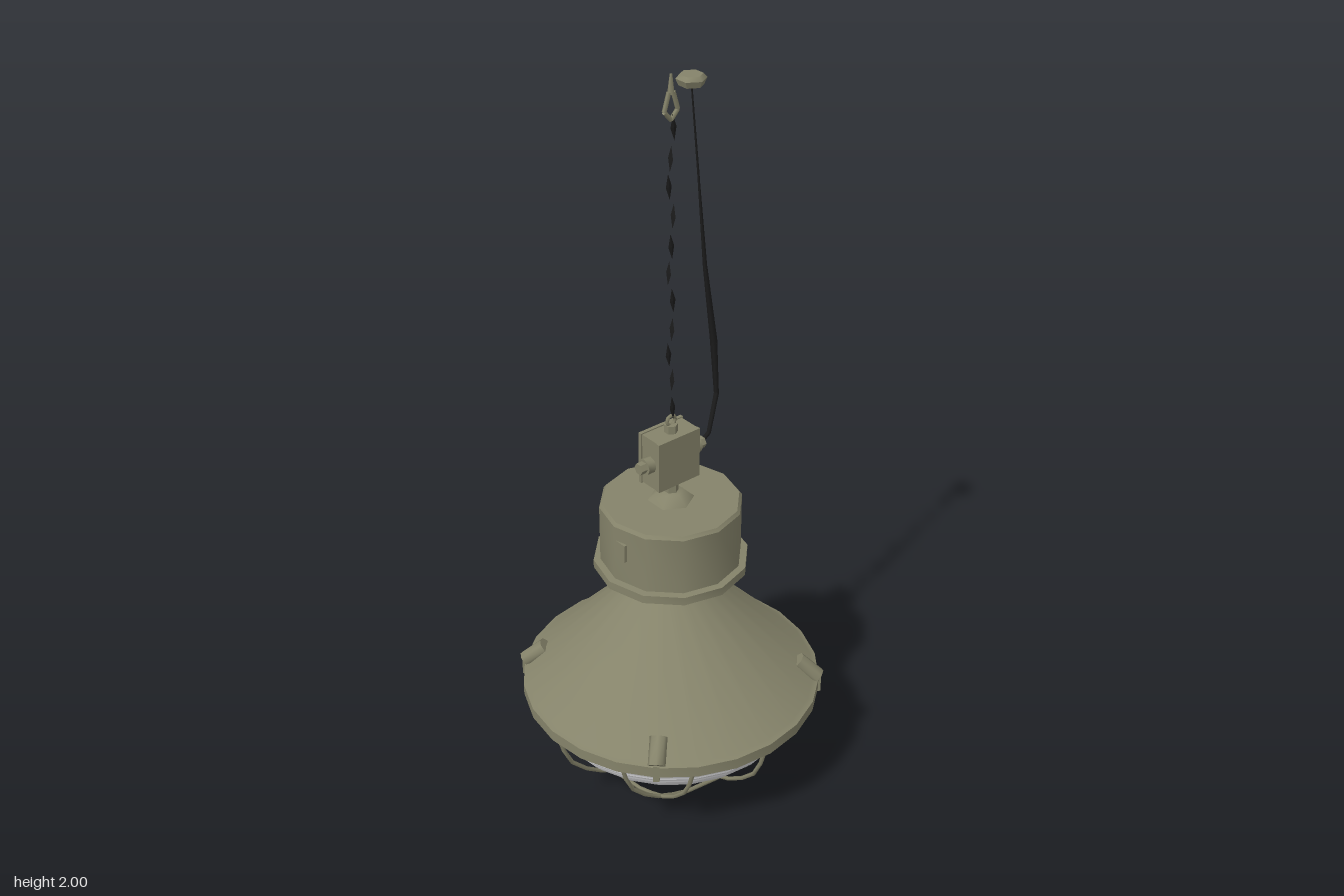
import * as THREE from 'three';
import { toCreasedNormals } from 'three/addons/utils/BufferGeometryUtils.js';

const mat = (name, color, side = THREE.FrontSide) => {
  const m = new THREE.MeshStandardMaterial({ color, side });
  m.name = name;
  return m;
};

export function createModel() {
  const olive = mat('olive paint', 0x85836a);
  const glass = mat('pale glass', 0xdadadc, THREE.DoubleSide);
  const black = mat('black cable and chain', 0x1c1c1c);

  const model = new THREE.Group();
  model.name = 'pendantLamp';

  const add = (name, geo, material, pos = [0, 0, 0], parent = model) => {
    const mesh = new THREE.Mesh(geo, material);
    mesh.name = name;
    mesh.position.set(...pos);
    parent.add(mesh);
    return mesh;
  };
  const lathe = (pts, sides) => toCreasedNormals(
    new THREE.LatheGeometry(pts.map(p => new THREE.Vector2(...p)), sides), 0.6);
  const cyl = (rTop, rBottom, h, sides) => toCreasedNormals(
    new THREE.CylinderGeometry(rTop, rBottom, h, sides), 0.9);
  // Tapered rod between two points
  const rod = (name, a, b, ra, rb, material, sides = 5) => {
    const from = new THREE.Vector3(...a), to = new THREE.Vector3(...b);
    const dir = to.clone().sub(from);
    const mesh = add(name, new THREE.CylinderGeometry(rb, ra, dir.length(), sides), material,
      from.clone().add(to).multiplyScalar(0.5).toArray());
    mesh.quaternion.setFromUnitVectors(new THREE.Vector3(0, 1, 0), dir.normalize());
    return mesh;
  };

  // Conical shade with its rim and neck
  add('shade', lathe([[0.365, 0.29], [0.365, 0.272], [0.405, 0.272], [0.405, 0.303],
    [0.39, 0.308], [0.095, 0.62]], 24), olive);
  add('neck', lathe([[0.093, 0.61], [0.093, 0.69]], 16), olive);

  // Drum housing with stepped underside and flange
  add('drum', lathe([[0.09, 0.69], [0.13, 0.69], [0.13, 0.68], [0.165, 0.68], [0.165, 0.67],
    [0.205, 0.67], [0.205, 0.693], [0.187, 0.695], [0.187, 0.855], [0.18, 0.864], [0, 0.864]], 12), olive);
  add('drumLabel', new THREE.BoxGeometry(0.008, 0.05, 0.04), olive, [-0.182, 0.79, 0.02]);

  // Glass bowl: smooth below, finely ribbed towards the rim
  const bowlRadius = y => 0.368 * Math.sqrt(1 - ((0.285 - y) / 0.23) ** 2);
  const ribs = [], dome = [];
  for (let i = 0; i < 9; i++) {
    const y = 0.14 + i * 0.016;
    ribs.push([bowlRadius(y), y], [bowlRadius(y + 0.012) + 0.002, y + 0.012]);
  }
  ribs.push([0.367, 0.285]);
  for (let i = 0; i <= 10; i++) {
    const a = (i / 10) * Math.acos(0.145 / 0.23);
    dome.push([0.368 * Math.sin(a), 0.285 - 0.23 * Math.cos(a)]);
  }
  add('ribbedGlass', lathe(ribs, 24), glass);
  add('glassDome', lathe(dome, 24), glass);

  // Wire cage: three faceted bars each way over a shallow bowl
  for (const turn of [0, Math.PI / 2]) {
    for (const d of [-0.2, 0, 0.2]) {
      const k = Math.sqrt(1 - (d / 0.39) ** 2), path = new THREE.CurvePath();
      const at = i => {
        const a = (i / 8 - 0.5) * Math.PI;
        return new THREE.Vector3(d, 0.277 - 0.27 * k * Math.cos(a), 0.387 * k * Math.sin(a));
      };
      for (let i = 0; i < 8; i++) path.add(new THREE.LineCurve3(at(i), at(i + 1)));
      add('cageBar', new THREE.TubeGeometry(path, 16, 0.006, 5), olive).rotation.y = turn;
    }
  }

  // Four latches clamping the rim
  for (let i = 0; i < 4; i++) {
    const latch = new THREE.Group();
    latch.name = 'latch';
    latch.rotation.y = Math.PI / 4 + i * Math.PI / 2;
    add('latchBarrel', cyl(0.023, 0.023, 0.075, 8), olive, [0, 0.333, 0.373], latch).rotation.x = -0.85;
    add('latchHook', new THREE.BoxGeometry(0.016, 0.05, 0.008), olive, [0, 0.288, 0.407], latch);
    add('latchFoot', new THREE.BoxGeometry(0.016, 0.008, 0.03), olive, [0, 0.265, 0.394], latch);
    model.add(latch);
  }

  // Mount between drum and junction box
  add('mountBase', cyl(0.032, 0.062, 0.026, 6), olive, [0, 0.876, 0]);
  add('mountNut', cyl(0.02, 0.02, 0.04, 6), olive, [0, 0.905, 0]);

  // Junction box, lid, side glands and top eye
  add('junctionBox', new THREE.BoxGeometry(0.13, 0.14, 0.06), olive, [0, 0.993, -0.008]);
  add('boxLid', new THREE.BoxGeometry(0.134, 0.14, 0.012), olive, [0, 0.993, 0.028]);
  add('boxBack', new THREE.BoxGeometry(0.138, 0.146, 0.01), olive, [0, 0.993, -0.04]);
  for (const s of [-1, 1]) {
    add('gland', cyl(0.022, 0.022, 0.022, 8), olive, [s * 0.077, 0.993, 0]).rotation.z = Math.PI / 2;
    add('glandCap', cyl(0.016, 0.016, 0.02, 6), olive, [s * 0.096, 0.993, 0]).rotation.z = Math.PI / 2;
  }
  add('topNut', cyl(0.018, 0.018, 0.022, 6), olive, [0, 1.075, 0]);
  add('topEye', new THREE.TorusGeometry(0.014, 0.005, 5, 8), olive, [0, 1.096, 0]);

  // Sparse chain of slim links, alternately turned
  const link = new THREE.OctahedronGeometry(1).scale(0.009, 0.033, 0.002);
  for (let i = 0; i < 11; i++) {
    const pos = [0.006 * Math.sin(i * 2), 1.135 + i * 0.0735, 0.006 * Math.cos(i * 2)];
    add('chainLink', link, black, pos).rotation.set(0, (i % 2) * Math.PI / 2, 0.08);
  }

  // Snap hook at the top of the chain
  for (const s of [-1, 1]) {
    rod('hookLower', [0, 1.888, 0], [s * 0.02, 1.91, 0], 0.006, 0.006, olive);
    rod('hookSide', [s * 0.02, 1.91, 0], [s * 0.006, 1.955, 0], 0.006, 0.006, olive);
  }
  rod('hookStem', [0, 1.95, 0], [0, 1.997, 0], 0.009, 0.003, olive);

  // Ceiling cap and slack power cable
  add('ceilingCap', cyl(0.028, 0.037, 0.01, 6), olive, [0.06, 1.979, 0]);
  add('ceilingCapBase', cyl(0.037, 0.03, 0.016, 6), olive, [0.06, 1.966, 0]);
  const path = [
    [0.06, 1.965, 0, 0.002], [0.085, 1.72, 0, 0.003], [0.112, 1.48, -0.004, 0.006],
    [0.152, 1.26, -0.014, 0.010], [0.165, 1.11, -0.016, 0.007],
    [0.133, 1.005, -0.008, 0.006], [0.1, 0.993, 0, 0.006]];
  for (let i = 0; i < path.length - 1; i++) {
    const a = path[i], b = path[i + 1];
    rod('cable', a.slice(0, 3), b.slice(0, 3), a[3], b[3], black);
  }
  return model;
}
